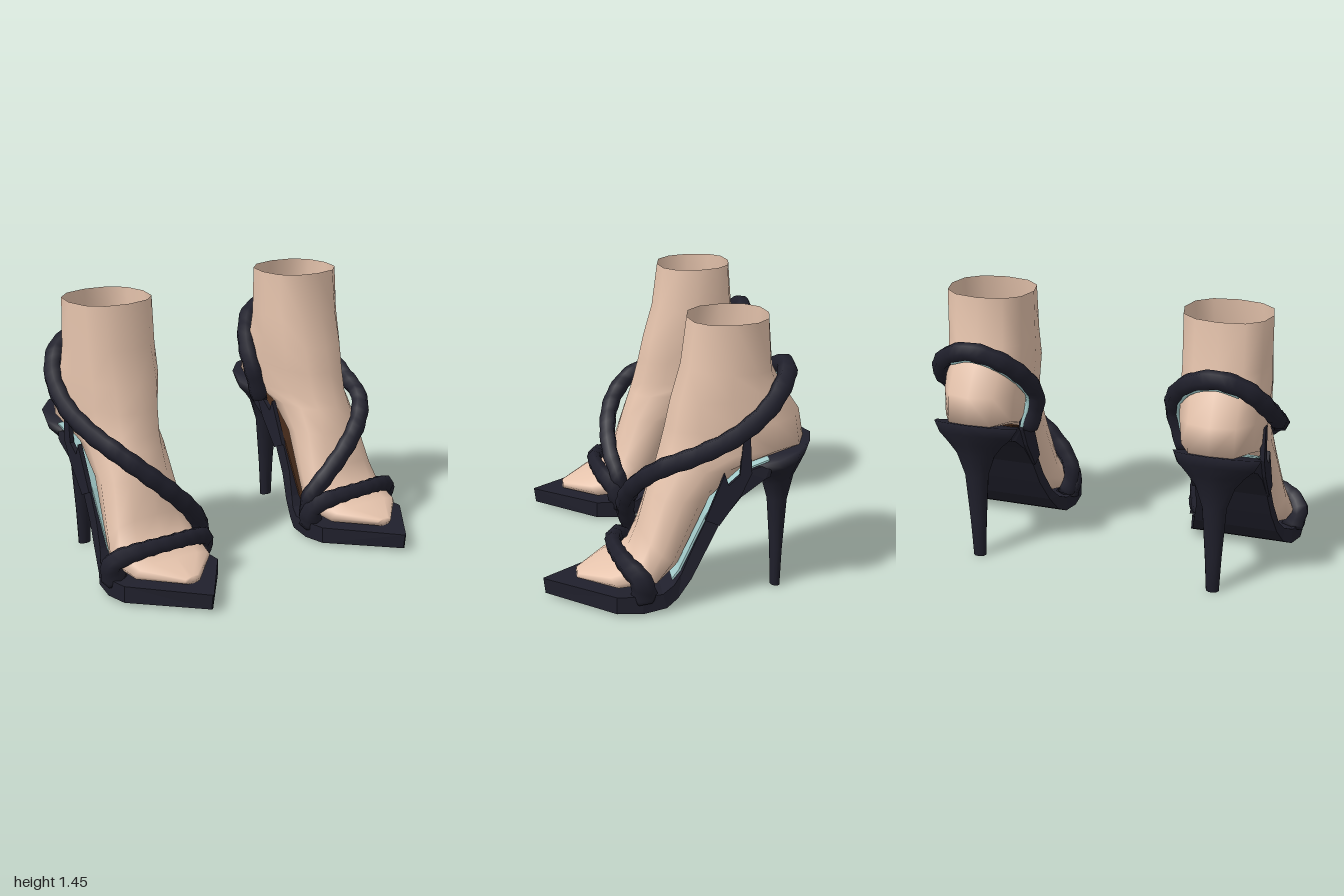
import * as THREE from 'three';

const mat = (name, color) => Object.assign(new THREE.MeshStandardMaterial({ color, side: THREE.DoubleSide }), { name });
const V = (x, y, z) => new THREE.Vector3(x, y, z);

// unit cross-sections as [along depth, along width]
const ovalSection = (softness) => Array.from({ length: 12 }, (_, i) => {
  const a = (i / 12) * Math.PI * 2;
  const soft = (v) => Math.sign(v) * Math.pow(Math.abs(v), softness);
  return [soft(Math.cos(a)), soft(Math.sin(a))];
});
const boxSection = [[1, -1], [1, 1], [-1, 1], [-1, -1]];

// station: [z1, y1, z2, y2, centre x, half width]
const ringsFrom = (stations, section) => stations.map(([z1, y1, z2, y2, cx, hw]) =>
  section.map(([c, s]) => V(cx + s * hw, (y1 + y2) / 2 + (c * (y1 - y2)) / 2, (z1 + z2) / 2 + (c * (z1 - z2)) / 2)));

// joins rings of points into a surface, with optional end caps
function skinRings(rings, { capStart = true, flat = true } = {}) {
  const n = rings[0].length, pos = [], idx = [];
  rings.flat().forEach((p) => pos.push(p.x, p.y, p.z));
  for (let i = 0; i < rings.length - 1; i++) {
    for (let j = 0; j < n; j++) {
      const a = i * n + j, b = i * n + ((j + 1) % n);
      idx.push(a, a + n, b + n, a, b + n, b);
    }
  }
  const last = (rings.length - 1) * n;
  for (let j = 1; j < n - 1; j++) {
    if (capStart) idx.push(0, j, j + 1);
    idx.push(last, last + j + 1, last + j);
  }
  let g = new THREE.BufferGeometry();
  g.setAttribute('position', new THREE.Float32BufferAttribute(pos, 3));
  g.setIndex(idx);
  if (flat) g = g.toNonIndexed();
  g.computeVertexNormals();
  return g;
}

// six-sided strap along a curve; radiusAt takes 0..1 along its length
function strap(points, segments, radiusAt) {
  const curve = new THREE.CatmullRomCurve3(points);
  const frames = curve.computeFrenetFrames(segments, false);
  const rings = [];
  for (let i = 0; i <= segments; i++) {
    const p = curve.getPointAt(i / segments), r = radiusAt(i / segments);
    rings.push([0, 1, 2, 3, 4, 5].map((k) => {
      const a = (-k / 6) * Math.PI * 2;
      return p.clone()
        .addScaledVector(frames.normals[i], r * Math.cos(a))
        .addScaledVector(frames.binormals[i], r * Math.sin(a));
    }));
  }
  return skinRings(rings, { flat: false });
}

// thin upright plate with a (z, y) outline
function sidePlate(outline, x, depth) {
  const shape = new THREE.Shape(outline.map(([z, y]) => new THREE.Vector2(z, y)));
  return new THREE.ExtrudeGeometry(shape, { depth, bevelEnabled: false }).rotateY(-Math.PI / 2).translate(x, 0, 0);
}

// reflects a geometry across x = 0 and restores its winding
function mirrored(geometry) {
  const g = geometry.index ? geometry.toNonIndexed() : geometry.clone();
  g.scale(-1, 1, 1);
  for (const at of [g.attributes.position, g.attributes.normal]) {
    for (let i = 0; i < at.count; i += 3) {
      const b = V().fromBufferAttribute(at, i + 1), c = V().fromBufferAttribute(at, i + 2);
      at.setXYZ(i + 1, c.x, c.y, c.z);
      at.setXYZ(i + 2, b.x, b.y, b.z);
    }
  }
  return g;
}

export function createModel() {
  const skin = mat('skin', 0xe6c4ad);
  const leather = mat('dark leather', 0x20202c);
  const brown = mat('brown insole', 0x4a2d1c);
  const teal = mat('dark teal insole', 0x23504b);
  const trim = mat('pale teal lining', 0xa3cccb);

  // foot from open ankle to toes
  const foot = skinRings(ringsFrom([
    [-0.05, 1.435, -0.46, 1.445, 0.635, 0.23],
    [-0.02, 1.2, -0.48, 1.18, 0.635, 0.23],
    [0.03, 1.02, -0.52, 1.1, 0.635, 0.23],
    [0.06, 0.88, -0.62, 0.95, 0.64, 0.22],
    [0.09, 0.76, -0.645, 0.8, 0.645, 0.21],
    [0.11, 0.69, -0.35, 0.7, 0.65, 0.2],
    [0.15, 0.56, -0.17, 0.54, 0.655, 0.205],
    [0.2, 0.38, 0, 0.19, 0.66, 0.235],
    [0.25, 0.25, 0.09, 0.11, 0.66, 0.265],
    [0.37, 0.195, 0.3, 0.09, 0.66, 0.24],
    [0.51, 0.14, 0.51, 0.1, 0.66, 0.05],
  ], ovalSection(0.85)), { capStart: false, flat: false });

  // pointed platform sole, heel to toe
  const sole = skinRings(ringsFrom([
    [-0.45, 0.73, -0.45, 0.66, 0.655, 0.18],
    [-0.32, 0.69, -0.42, 0.65, 0.655, 0.19],
    [-0.22, 0.6, -0.3, 0.56, 0.655, 0.19],
    [-0.13, 0.46, -0.19, 0.42, 0.655, 0.195],
    [-0.06, 0.31, -0.12, 0.28, 0.655, 0.205],
    [0, 0.18, -0.05, 0.15, 0.65, 0.23],
    [0.04, 0.13, 0.02, 0.06, 0.65, 0.255],
    [0.1, 0.1, 0.08, 0.025, 0.655, 0.285],
    [0.2, 0.1, 0.2, 0.01, 0.66, 0.305],
    [0.33, 0.1, 0.33, 0.012, 0.66, 0.295],
    [0.68, 0.095, 0.67, 0.015, 0.66, 0.004],
  ], boxSection));

  // heel seat flowing into the stiletto
  const heel = skinRings(ringsFrom([
    [-0.31, 0.69, -0.68, 0.825, 0.65, 0.23],
    [-0.38, 0.65, -0.655, 0.755, 0.65, 0.2],
    [-0.415, 0.62, -0.63, 0.69, 0.65, 0.15],
    [-0.44, 0.57, -0.6, 0.62, 0.65, 0.105],
    [-0.465, 0.48, -0.57, 0.48, 0.65, 0.065],
    [-0.485, 0.2, -0.55, 0.2, 0.65, 0.045],
    [-0.49, 0.005, -0.543, 0, 0.65, 0.035],
  ], ovalSection(1)), { flat: false });

  // lining on the heel seat and arch: pale on the outer side, brown on the inner
  const archLining = (cx, hw) => skinRings(ringsFrom([
    [-0.44, 0.75, -0.44, 0.741, cx, hw],
    [-0.34, 0.712, -0.34, 0.703, cx, hw],
    [-0.215, 0.61, -0.22, 0.602, cx, hw],
    [-0.122, 0.468, -0.13, 0.46, cx, hw],
    [-0.052, 0.318, -0.06, 0.31, cx, hw],
    [0.008, 0.188, 0, 0.18, cx, hw],
    [0.045, 0.138, 0.04, 0.13, cx, hw],
  ], boxSection));

  // insole seen down through the ankle opening
  const insoleBack = skinRings(ringsFrom([
    [-0.6, 0.85, -0.6, 0.845, 0.645, 0.1],
    [-0.5, 0.82, -0.5, 0.815, 0.645, 0.17],
    [-0.28, 0.77, -0.28, 0.765, 0.645, 0.185],
  ], boxSection));
  const insoleFront = skinRings(ringsFrom([
    [-0.28, 0.77, -0.28, 0.765, 0.645, 0.185],
    [-0.14, 0.66, -0.14, 0.655, 0.65, 0.18],
    [0, 0.42, 0, 0.415, 0.655, 0.17],
  ], boxSection));

  // straps, gently scalloped
  const toeStrap = strap([
    V(0.92, 0.08, 0.19), V(0.945, 0.18, 0.21), V(0.87, 0.235, 0.27), V(0.66, 0.262, 0.32),
    V(0.45, 0.235, 0.28), V(0.38, 0.18, 0.22), V(0.4, 0.08, 0.19),
  ], 32, (t) => 0.043 + 0.024 * (2 * t - 1) ** 2 + 0.003 * Math.sin(t * 70));
  const anklePath = [
    V(0.4, 0.1, 0.16), V(0.38, 0.24, 0.2), V(0.46, 0.36, 0.24), V(0.6, 0.5, 0.245), V(0.73, 0.62, 0.2),
    V(0.83, 0.72, 0.1), V(0.88, 0.8, -0.08), V(0.9, 0.9, -0.27), V(0.87, 1.03, -0.43), V(0.78, 1.14, -0.52),
    V(0.65, 1.18, -0.55), V(0.5, 1.13, -0.51), V(0.4, 1.0, -0.4), V(0.38, 0.88, -0.32), V(0.43, 0.69, -0.31),
  ];
  const ankleStrap = strap(anklePath, 72, (t) => 0.049 + 0.003 * Math.sin(t * 130));

  // pale lining along the heel-side edge of the ankle strap
  const heelCentre = V(0.645, 0.85, -0.52);
  const strapLining = strap(anklePath.slice(9).map((p) =>
    p.clone().addScaledVector(heelCentre.clone().sub(p).normalize(), 0.036)), 28, () => 0.023);

  // side tabs rising from the arch
  const tabOutline = [
    [-0.12, 0.45], [-0.215, 0.69], [-0.235, 0.63], [-0.29, 0.68], [-0.305, 0.87],
    [-0.34, 0.87], [-0.35, 0.69], [-0.3, 0.58], [-0.19, 0.42],
  ];

  const parts = [
    ['foot', foot, skin],
    ['sole', sole, leather],
    ['stilettoHeel', heel, leather],
    ['outerArchLining', archLining(0.69, 0.15), trim],
    ['innerArchLining', archLining(0.505, 0.035), brown],
    ['strapLining', strapLining, trim],
    ['insoleBack', insoleBack, teal],
    ['insoleFront', insoleFront, brown],
    ['toeStrap', toeStrap, leather],
    ['ankleStrap', ankleStrap, leather],
    ['outerTab', sidePlate(tabOutline, 0.862, 0.025), leather],
    ['innerTab', sidePlate(tabOutline, 0.47, 0.025), leather],
  ];

  const model = new THREE.Group();
  model.name = 'feetInSandals';
  for (const side of ['left', 'right']) {
    const group = new THREE.Group();
    group.name = side + 'Foot';
    for (const [name, geometry, material] of parts) {
      const mesh = new THREE.Mesh(side === 'left' ? geometry : mirrored(geometry), material);
      mesh.name = name;
      group.add(mesh);
    }
    model.add(group);
  }
  return model;
}
